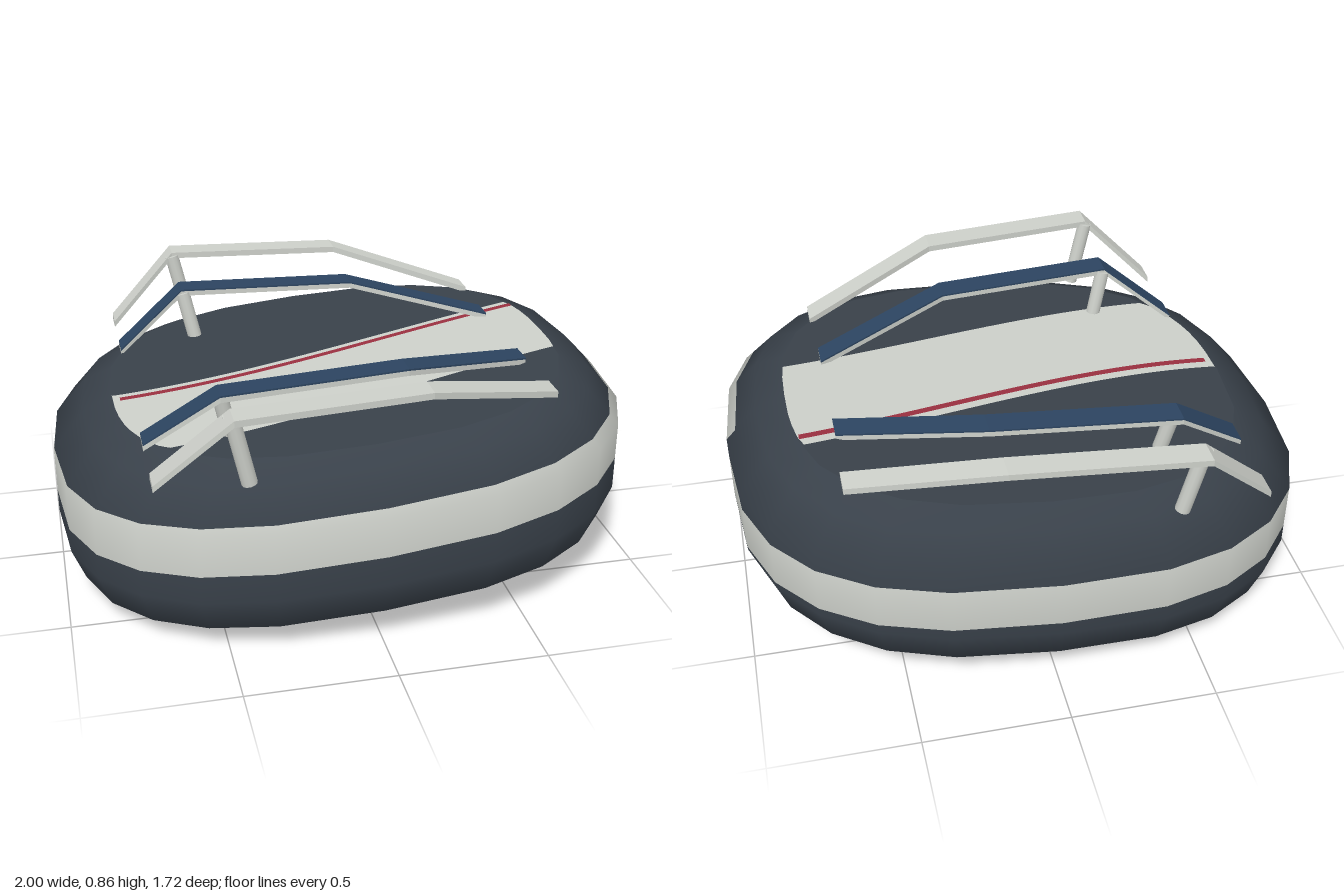
import * as THREE from 'three';

const paint = (name, color, side = THREE.FrontSide) => Object.assign(new THREE.MeshStandardMaterial({ color, side }), { name });

const SEG = 24, EXP = 0.756, DEPTH = 0.86, LIFT = 0.058, SLOPE = 0.073;
const TOP = 0.604, FLAT = 0.79;
// Hull profile rings: height, scale, upward part of the normal
const RINGS = [[0, FLAT, -0.85], [0.07, 0.955, -0.6], [0.19, 1, -0.12], [0.435, 1, 0.2], [0.56, 0.89, 0.65], [TOP, FLAT, 0.92]];

const power = (v, e) => Math.sign(v) * Math.abs(v) ** e;
const outline = (t, s) => [s * power(Math.cos(t), EXP), s * DEPTH * power(Math.sin(t), EXP)];
const tilt = (x, y) => y + LIFT + SLOPE * x;

function profile(h) {
  let i = 0;
  while (i < RINGS.length - 2 && h > RINGS[i + 1][0]) i++;
  const [a, b] = [RINGS[i], RINGS[i + 1]];
  const f = (h - a[0]) / (b[0] - a[0]);
  return [a[1] + (b[1] - a[1]) * f, a[2] + (b[2] - a[2]) * f];
}

// Hull side wall: the pale band sinks once around, leaving a step at the +x end
function wallGeometry() {
  const pos = [], nor = [], idx = [];
  let rows = 0;
  for (let c = 0; c <= SEG; c++) {
    const s = c / SEG, t = s * Math.PI * 2;
    const hi = 0.473 - 0.031 * s - 0.082 * s * s, lo = hi - 0.166;
    const heights = [0, 0.07, 0.19, lo, Math.min(0.435, hi), hi, Math.max(0.435, hi), 0.56, TOP];
    rows = heights.length;
    const out = new THREE.Vector2(power(Math.cos(t), 2 - EXP), power(Math.sin(t), 2 - EXP) / DEPTH).normalize();
    for (const h of heights) {
      const [r, ny] = profile(h), [x, z] = outline(t, r), k = Math.sqrt(1 - ny * ny);
      const n = new THREE.Vector3(out.x * k - SLOPE * ny, ny, out.y * k).normalize();
      pos.push(x, tilt(x, h), z);
      nor.push(n.x, n.y, n.z);
    }
  }
  const g = new THREE.BufferGeometry();
  for (let r = 0; r < rows - 1; r++) {
    for (let c = 0; c < SEG; c++) {
      const a = c * rows + r, b = a + rows;
      idx.push(a, a + 1, b, b, a + 1, b + 1);
    }
    g.addGroup(r * SEG * 6, SEG * 6, r === 3 || r === 4 ? 1 : 0);
  }
  g.setAttribute('position', new THREE.Float32BufferAttribute(pos, 3));
  g.setAttribute('normal', new THREE.Float32BufferAttribute(nor, 3));
  g.setIndex(idx);
  return g;
}

// Flat sheet from [x, z] points, facing up or down and following the tilt
function sheet(points, y, up) {
  const dir = up ? -1 : 1;
  const g = new THREE.ShapeGeometry(new THREE.Shape(points.map(([x, z]) => new THREE.Vector2(x, dir * z))));
  g.rotateX(dir * Math.PI / 2);
  const p = g.attributes.position;
  for (let i = 0; i < p.count; i++) p.setY(i, tilt(p.getX(i), y));
  g.computeVertexNormals();
  return g;
}

// Sweeping stripe between two offsets from a curve, kept inside the flat deck
function stripe(from, to, reach) {
  const n = 2 / EXP, a = [], b = [];
  for (let i = 0; i <= 40; i++) {
    const x = reach * Math.sin((i / 40 - 0.5) * Math.PI);
    const lim = 0.67 * Math.max(0, 1 - (Math.abs(x) / 0.785) ** n) ** (1 / n) + 0.001;
    const z = -0.105 - 0.25 * x - 0.062 * x * x + 0.0887 * x ** 3;
    a.push([x, THREE.MathUtils.clamp(z + from, -lim, lim)]);
    b.unshift([x, THREE.MathUtils.clamp(z + to, -lim, lim) + 0.0005]);
  }
  return a.concat(b);
}

// Bent rail strip from [x, y, z] stations; y is its top
function railGeometry(path, side, width, thick, raise = 0) {
  const upper = path.map(([x, y]) => new THREE.Vector2(x, y + raise));
  const lower = path.map(([x, y]) => new THREE.Vector2(x, y + raise - thick)).reverse();
  const g = new THREE.ExtrudeGeometry(new THREE.Shape(upper.concat(lower)), { depth: width, bevelEnabled: false });
  const p = g.attributes.position;
  for (let i = 0; i < p.count; i++) {
    const station = path.find(([x]) => Math.abs(x - p.getX(i)) < 1e-4);
    p.setZ(i, p.getZ(i) - width / 2 + side * station[2]);
  }
  g.computeVertexNormals();
  return g;
}

function post(a, b, radius, material) {
  const from = new THREE.Vector3(...a), to = new THREE.Vector3(...b);
  const m = new THREE.Mesh(new THREE.CylinderGeometry(radius, radius, from.distanceTo(to), 12), material);
  m.position.copy(from).add(to).multiplyScalar(0.5);
  m.quaternion.setFromUnitVectors(new THREE.Vector3(0, 1, 0), to.sub(from).normalize());
  return m;
}

export function createModel() {
  const dark = paint('charcoal', 0x39414a);
  const pale = paint('pale grey', 0xcdd0ca);
  const blue = paint('navy blue', 0x2c4460);
  const red = paint('crimson', 0x9a3040);
  const model = new THREE.Group();
  const add = (name, mesh) => { mesh.name = name; model.add(mesh); };

  // Hull
  add('hullWall', new THREE.Mesh(wallGeometry(), [dark, pale]));
  const rim = Array.from({ length: SEG }, (_, i) => outline(i / SEG * Math.PI * 2, FLAT));
  add('deck', new THREE.Mesh(sheet(rim, TOP, true), dark));
  add('underside', new THREE.Mesh(sheet(rim, 0, false), dark));

  // Painted stripes above and below
  add('deckStripe', new THREE.Mesh(sheet(stripe(0, 0.47, 0.785), TOP + 0.003, true), pale));
  add('deckLine', new THREE.Mesh(sheet(stripe(0.03, 0.055, 0.76), TOP + 0.006, true), red));
  add('bellyStripe', new THREE.Mesh(sheet(stripe(0.035, 0.47, 0.785), -0.002, false), pale));
  add('bellyLine', new THREE.Mesh(sheet(stripe(0.03, 0.05, 0.76), -0.004, false), red));

  // Rails and their posts on both sides
  const outer = [[-0.72, 0.625, 0.695], [-0.475, 0.86, 0.78], [0.16, 0.86, 0.715], [0.65, 0.725, 0.51]];
  const inner = [[-0.72, 0.62, 0.405], [-0.475, 0.805, 0.49], [0.16, 0.81, 0.425], [0.64, 0.72, 0.22]];
  for (const side of [1, -1]) {
    const label = side > 0 ? 'front' : 'back';
    add(label + 'OuterRail', new THREE.Mesh(railGeometry(outer, side, 0.09, 0.022), pale));
    add(label + 'InnerRail', new THREE.Mesh(railGeometry(inner, side, 0.09, 0.018), pale));
    add(label + 'InnerRailFace', new THREE.Mesh(railGeometry(inner, side, 0.09, 0.006, 0.006), blue));
    add(label + 'OuterPost', post([-0.42, 0.6, side * 0.735], [-0.475, 0.845, side * 0.745], 0.026, pale));
    add(label + 'InnerPost', post([-0.43, 0.61, side * 0.435], [-0.47, 0.795, side * 0.455], 0.026, pale));
  }
  return model;
}
